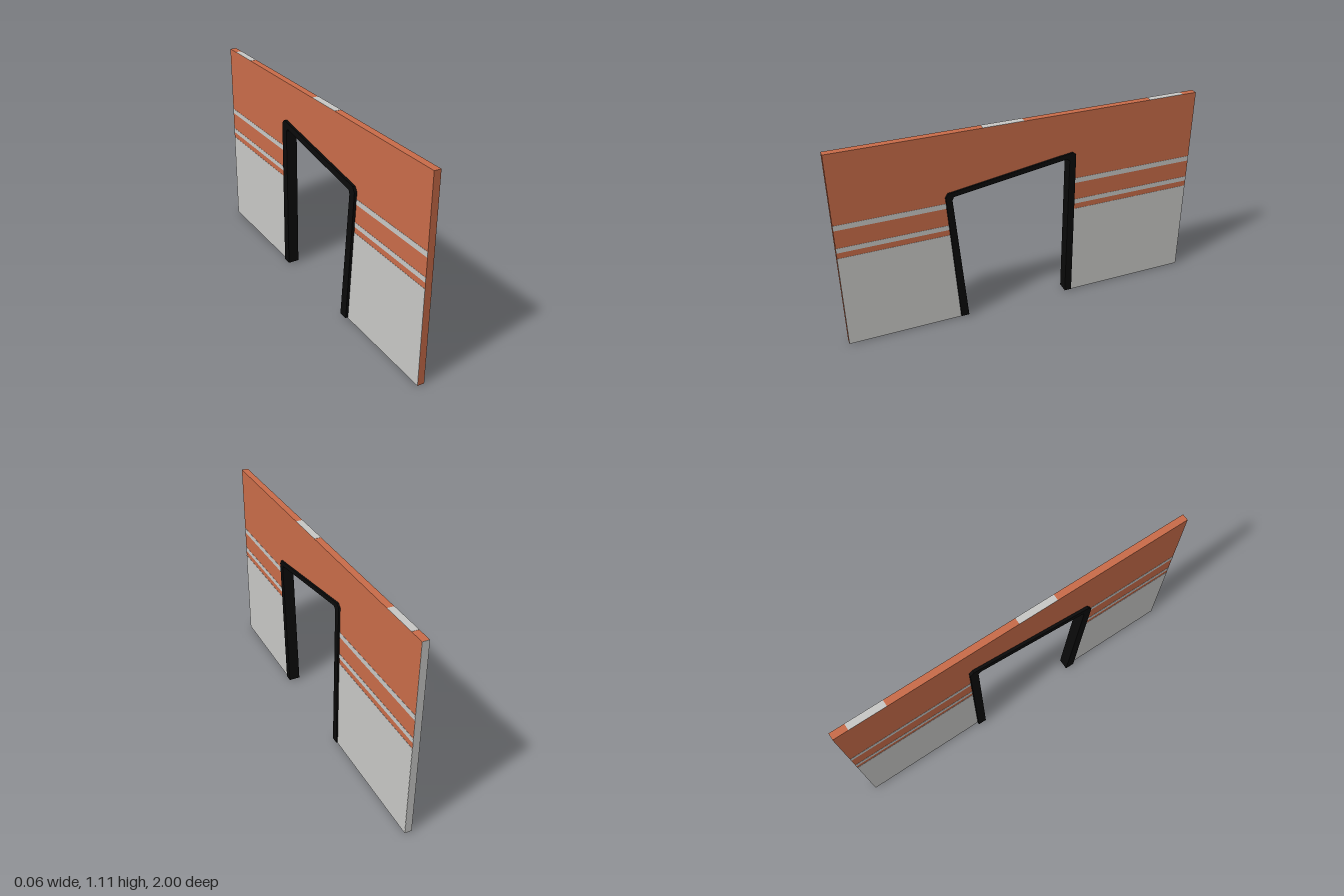
import * as THREE from 'three';

const X0 = -0.016, X1 = 0.021, TOP = 1.11;
const orange = new THREE.MeshStandardMaterial({ color: 0xc96c49 });
orange.name = 'terracotta orange';
const grey = new THREE.MeshStandardMaterial({ color: 0xc8c8c6 });
grey.name = 'light grey';
const black = new THREE.MeshStandardMaterial({ color: 0x0a0a0a });
black.name = 'black';

// z of the slanted front jamb at height y, and of the upright back jamb
const frontJamb = (y) => 0.36 + 0.07 * y;
const backJamb = -0.272;

// extrude a (z, y) outline along x, from x0 to x1
function slab(name, points, x0, x1, material) {
  const shape = new THREE.Shape(points.map(([z, y]) => new THREE.Vector2(-z, y)));
  const geometry = new THREE.ExtrudeGeometry(shape, { depth: x1 - x0, bevelEnabled: false });
  geometry.rotateY(Math.PI / 2).translate(x0, 0, 0);
  const mesh = new THREE.Mesh(geometry, material);
  mesh.name = name;
  return mesh;
}

// door frame: a tapered four-sided section swept up, over and down the opening
function doorFrame() {
  const outer = [[0.377, 0.006], [0.43, 0.765], [0.416, 0.786], [-0.272, 0.888], [-0.29, 0.872], [-0.29, 0.006]];
  const inner = [[0.334, 0.006], [0.396, 0.745], [0.388, 0.764], [-0.24, 0.857], [-0.254, 0.842], [-0.25, 0.006]];
  const flare = [[0.01, 0], [0.01, 0.004], [0.007, 0.011], [-0.006, 0.012], [-0.01, 0.006], [-0.01, 0]];
  const rings = outer.map(([z, y], i) => [
    [0.03, y, z],
    [-0.033, y + flare[i][1], z + flare[i][0]],
    [-0.033, inner[i][1], inner[i][0]],
    [0.03, inner[i][1], inner[i][0]],
  ]);
  const positions = [];
  const quad = (a, b, c, d) => positions.push(...a, ...b, ...c, ...a, ...c, ...d);
  for (let i = 0; i < rings.length - 1; i++) {
    for (let k = 0; k < 4; k++) {
      const n = (k + 1) % 4;
      quad(rings[i][k], rings[i + 1][k], rings[i + 1][n], rings[i][n]);
    }
  }
  quad(...rings[0]);
  quad(...[...rings[rings.length - 1]].reverse());
  const geometry = new THREE.BufferGeometry();
  geometry.setAttribute('position', new THREE.Float32BufferAttribute(positions, 3));
  geometry.computeVertexNormals();
  const mesh = new THREE.Mesh(geometry, black);
  mesh.name = 'doorFrame';
  return mesh;
}

export function createModel() {
  const group = new THREE.Group();
  group.name = 'wallWithDoorway';

  // wall with the doorway cut out
  group.add(slab('wall', [
    [1, 0], [1, TOP], [-1, TOP], [-1, 0],
    [backJamb, 0], [backJamb, 0.873], [frontJamb(0.775), 0.775], [frontJamb(0), 0],
  ], X0, X1, orange));

  // grey dado and two stripes on both faces, either side of the doorway
  const bands = [['lowerPanel', 0, 0.54], ['lowerStripe', 0.572, 0.599], ['upperStripe', 0.7, 0.729]];
  for (const [name, y0, y1] of bands) {
    for (const [x0, x1] of [[X0 - 0.001, X0], [X1, X1 + 0.001]]) {
      group.add(slab(name + 'Front', [[1, y0], [1, y1], [frontJamb(y1), y1], [frontJamb(y0), y0]], x0, x1, grey));
      group.add(slab(name + 'Back', [[backJamb, y0], [backJamb, y1], [-1, y1], [-1, y0]], x0, x1, grey));
    }
  }

  // grey patches on the narrow edges
  const edgePatch = (name, z0, z1, y0, y1) =>
    group.add(slab(name, [[z0, y0], [z0, y1], [z1, y1], [z1, y0]], X0, X1, grey));
  edgePatch('backEdge', -1.001, -1, 0, TOP);
  edgePatch('topPatchBack', -0.92, -0.72, TOP, TOP + 0.001);
  edgePatch('topPatchMiddle', 0, 0.22, TOP, TOP + 0.001);
  edgePatch('bottomPatch', -0.86, -0.48, -0.001, 0);

  group.add(doorFrame());
  return group;
}
